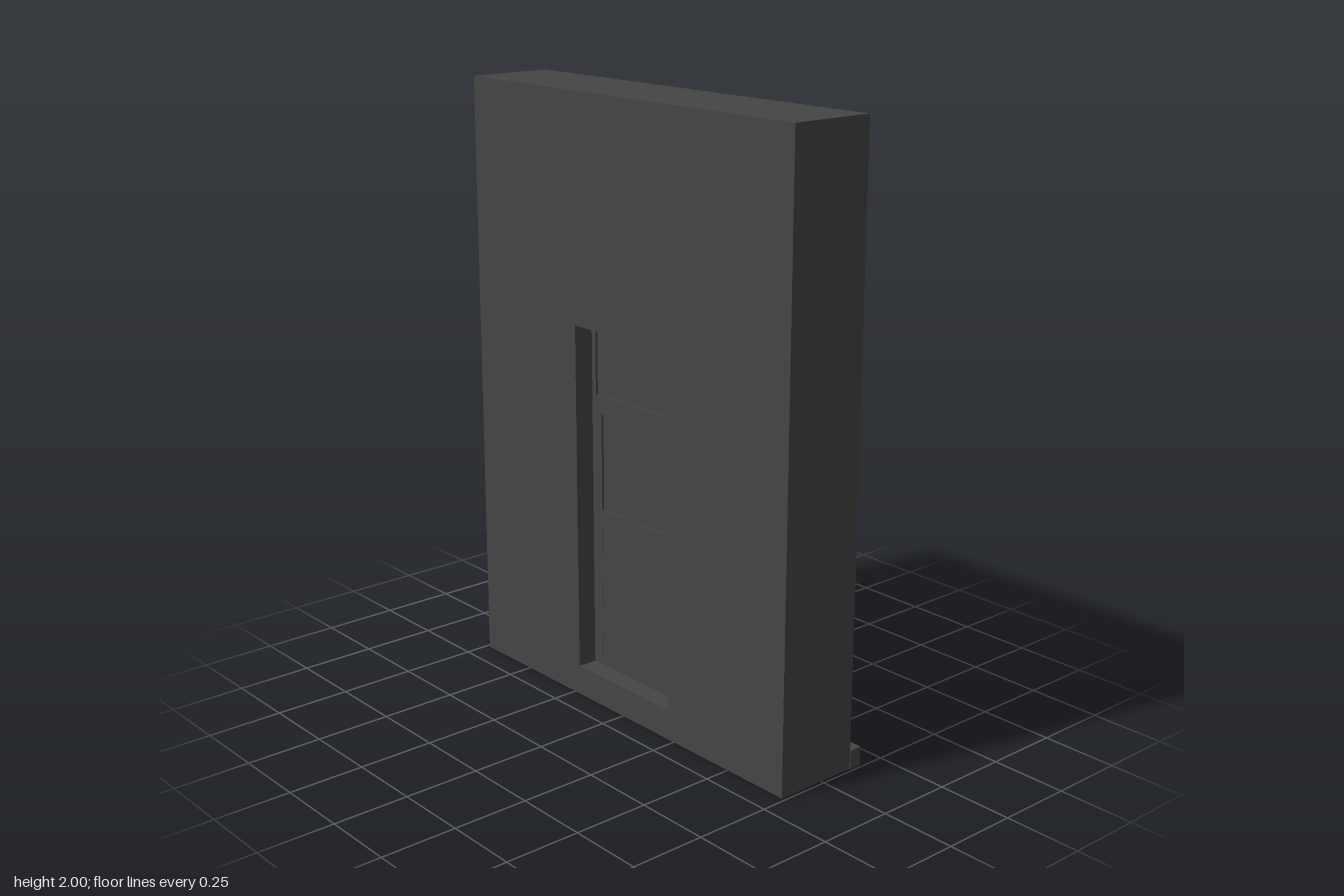
import * as THREE from 'three';

const material = new THREE.MeshStandardMaterial({ color: 0x454545, flatShading: true });

// Box given by its extents along each axis
function block(name, [x0, x1], [y0, y1], [z0, z1]) {
  const mesh = new THREE.Mesh(new THREE.BoxGeometry(x1 - x0, y1 - y0, z1 - z0), material);
  mesh.position.set((x0 + x1) / 2, (y0 + y1) / 2, (z0 + z1) / 2);
  mesh.name = name;
  return mesh;
}

function trace(path, [y0, y1], [z0, z1]) {
  path.moveTo(-z1, y0);
  path.lineTo(-z0, y0);
  path.lineTo(-z0, y1);
  path.lineTo(-z1, y1);
  path.closePath();
  return path;
}

// Upright slab facing +x with rectangular openings, each given as [yRange, zRange]
function slab(name, [x0, x1], yRange, zRange, holes) {
  const shape = trace(new THREE.Shape(), yRange, zRange);
  for (const [y, z] of holes) shape.holes.push(trace(new THREE.Path(), y, z));
  const geometry = new THREE.ExtrudeGeometry(shape, { depth: x1 - x0, bevelEnabled: false });
  geometry.rotateY(Math.PI / 2);
  geometry.translate(x0, 0, 0);
  const mesh = new THREE.Mesh(geometry, material);
  mesh.name = name;
  return mesh;
}

export function createModel() {
  const model = new THREE.Group();
  model.name = 'wallWithDoor';

  // Thick wall with a doorway, narrower behind the door, plus the plinth step and sill
  model.add(slab('wall', [-0.165, 0.125], [0, 2], [-0.737, 0.737], [[[0.075, 1.3], [-0.24, 0.237]]]));
  model.add(slab('rearReveal', [-0.165, -0.097], [0.075, 1.3], [-0.24, 0.237], [[[0.1, 1.265], [-0.225, 0.225]]]));
  model.add(block('plinthStep', [0.125, 0.168], [0, 0.062], [-0.74, 0.74]));
  model.add(block('doorSill', [-0.06, 0.155], [0.062, 0.084], [-0.245, 0.24]));

  const door = new THREE.Group();
  door.name = 'door';
  model.add(door);

  // Fixed frame with transom bar and upper pane
  door.add(slab('doorFrame', [-0.098, -0.052], [0.075, 1.3], [-0.24, 0.237],
    [[[0.085, 1.005], [-0.207, 0.204]], [[1.03, 1.275], [-0.207, 0.204]]]));
  door.add(block('transomPane', [-0.09, -0.075], [1.03, 1.275], [-0.207, 0.204]));

  // Door leaf: window opening above, sunken panel below
  door.add(slab('doorLeaf', [-0.098, -0.062], [0.085, 1.005], [-0.207, 0.204],
    [[[0.645, 0.97], [-0.18, 0.172]], [[0.125, 0.615], [-0.18, 0.165]]]));
  door.add(block('lowerPanel', [-0.097, -0.074], [0.125, 0.615], [-0.18, 0.165]));
  door.add(block('windowPane', [-0.09, -0.084], [0.645, 0.97], [-0.18, 0.172]));
  door.add(slab('windowMoulding', [-0.068, -0.056], [0.635, 0.98], [-0.19, 0.182],
    [[[0.65, 0.965], [-0.175, 0.167]]]));

  // Uneven upright bars across the window
  const bars = [[0.146, 0], [0.09, 0.01], [0.062, -0.008], [0.03, 0], [-0.018, 0.012],
    [-0.065, -0.012], [-0.1, 0.01], [-0.15, 0]];
  bars.forEach(([z, tilt], i) => {
    const bar = block(`windowBar${i + 1}`, [-0.083, -0.068], [0.645, 0.97], [z - 0.007, z + 0.007]);
    bar.rotation.x = tilt;
    door.add(bar);
  });

  // Latch and lock at the edge of the leaf
  for (const [name, y] of [['latch', 0.89], ['lock', 0.55]]) {
    door.add(block(name, [-0.063, -0.05], [y - 0.032, y + 0.032], [-0.2, -0.186]));
  }
  return model;
}
